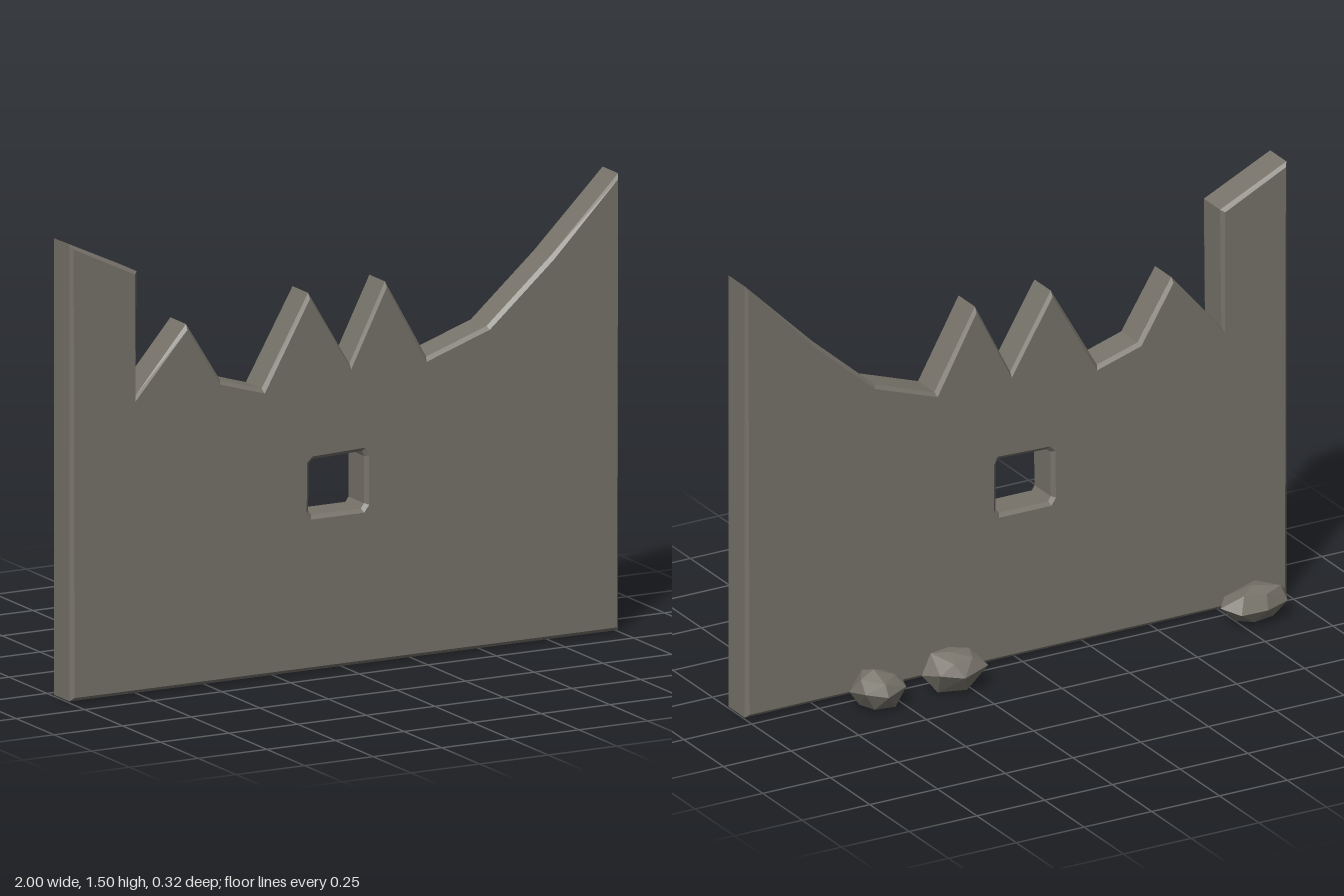
import * as THREE from 'three';
import { ConvexGeometry } from 'three/addons/geometries/ConvexGeometry.js';

const stone = new THREE.MeshStandardMaterial({ color: 0x77736a, flatShading: true });

// Broken wall outline, anticlockwise from the bottom right corner of the front
const OUTLINE = [
  [-1, 0.005], [1, 0.005], [1, 1.505], [0.75, 1.26], [0.52, 1.06], [0.3, 0.985],
  [0.15, 1.25], [0.02, 0.995], [-0.13, 1.245], [-0.3, 0.95], [-0.45, 0.995],
  [-0.575, 1.195], [-0.76, 0.98], [-0.755, 1.39], [-1, 1.505],
];

// Window opening with slightly worn corners
const WINDOW = [
  [-0.13, 0.53], [-0.12, 0.514], [0.062, 0.514], [0.074, 0.53],
  [0.074, 0.685], [0.066, 0.703], [-0.115, 0.697], [-0.128, 0.685],
];

const toPoints = (list) => list.map(([x, y]) => new THREE.Vector2(x, y));

function makeWall() {
  const bevel = 0.012;
  const back = 0.033, front = 0.16;
  const shape = new THREE.Shape(toPoints(OUTLINE));
  shape.holes.push(new THREE.Path(toPoints(WINDOW).reverse()));
  const geometry = new THREE.ExtrudeGeometry(shape, {
    depth: front - back - 2 * bevel,
    bevelEnabled: true, bevelSegments: 1,
    bevelSize: bevel, bevelThickness: bevel, bevelOffset: -bevel,
  });
  geometry.translate(0, 0, back + bevel);
  const wall = new THREE.Mesh(geometry, stone);
  wall.name = 'ruinedWall';
  return wall;
}

function seeded(seed) {
  let s = seed;
  return () => (s = (s * 16807) % 2147483647) / 2147483647;
}

// Faceted boulder: hull of three uneven rings, fitted to a box
function makeRock(seed, min, max) {
  const random = seeded(seed);
  for (let i = 0; i < 5; i++) random();
  const points = [];
  for (const [count, y, radius] of [[5, 0, 0.6], [7, 0.5, 1], [5, 0.85, 0.65], [1, 1, 0.12]]) {
    const turn = random() * Math.PI * 2;
    for (let i = 0; i < count; i++) {
      const angle = turn + ((i + 0.4 * random()) / count) * Math.PI * 2;
      const r = radius * (0.88 + 0.24 * random());
      const h = y + (random() - 0.5) * 0.22;
      points.push(new THREE.Vector3(r * Math.cos(angle), h, r * Math.sin(angle)));
    }
  }
  const box = new THREE.Box3().setFromPoints(points);
  const size = box.getSize(new THREE.Vector3());
  const low = new THREE.Vector3(...min);
  const span = new THREE.Vector3(...max).sub(low);
  points.forEach((p) => p.sub(box.min).divide(size).multiply(span).add(low));
  return new THREE.Mesh(new ConvexGeometry(points), stone);
}

export function createModel() {
  const group = new THREE.Group();
  group.name = 'ruin';
  group.add(makeWall());

  // Fallen stones behind the wall
  const rocks = [
    [11, [-0.93, 0.005, -0.16], [-0.68, 0.125, -0.005]],
    [47, [0.2, 0.005, -0.158], [0.41, 0.13, 0.003]],
    [83, [0.48, 0, -0.163], [0.67, 0.13, 0.005]],
  ];
  rocks.forEach(([seed, min, max], i) => {
    const rock = makeRock(seed, min, max);
    rock.name = `fallenRock${i + 1}`;
    group.add(rock);
  });
  return group;
}
